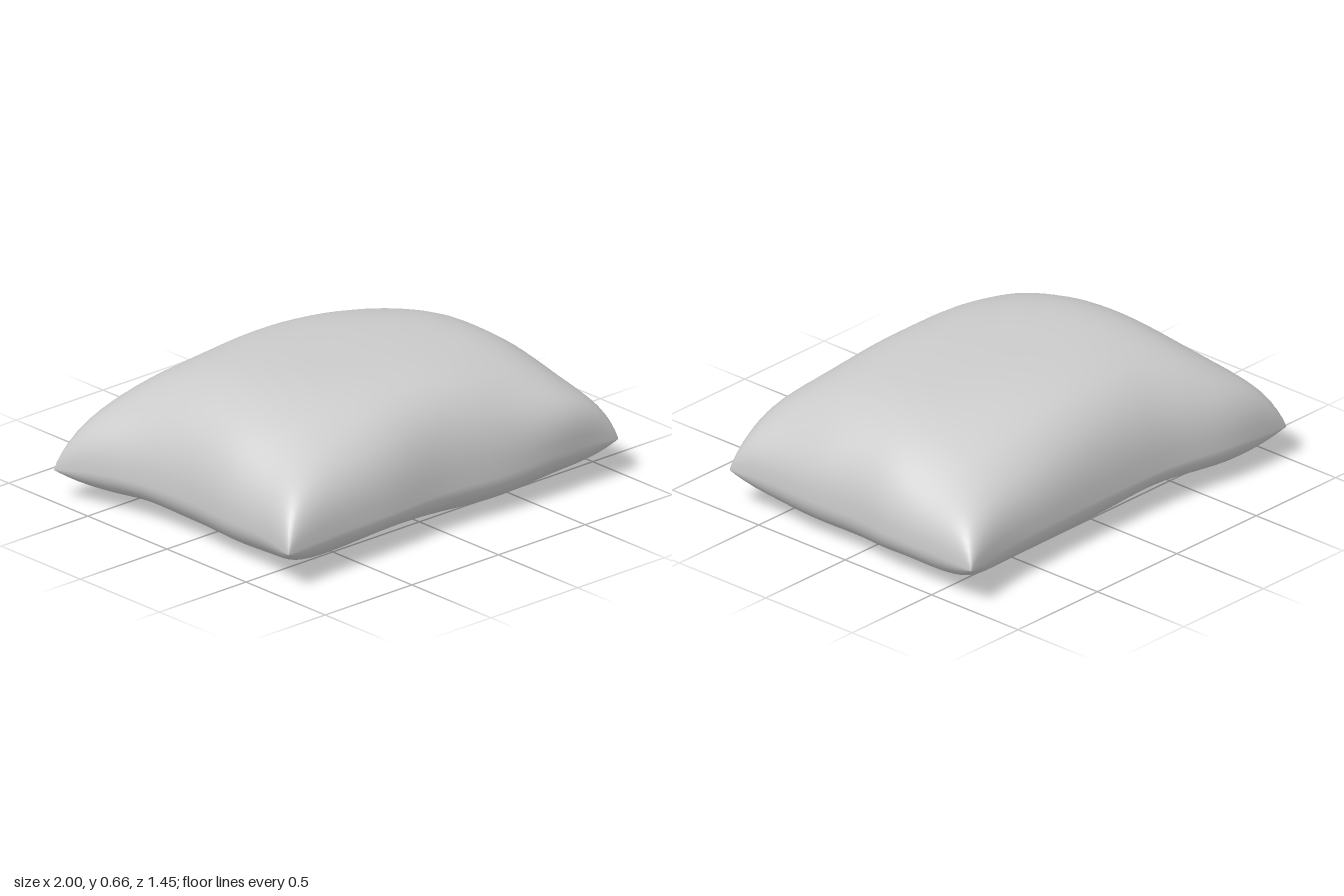
import * as THREE from 'three';
import { mergeVertices } from 'three/addons/utils/BufferGeometryUtils.js';

const N = 44;
const curve = (pts) => new THREE.CatmullRomCurve3(pts.map((p) => new THREE.Vector3(...p)));

// Seam outline: four bowed edges sharing their corners
const backLeft = [-1, 0.16, -0.715], backRight = [1, 0.2, -0.73];
const frontLeft = [-0.955, 0.19, 0.72], frontRight = [0.96, 0.19, 0.705];
const back = curve([backLeft, [-0.68, 0.19, -0.72], [-0.33, 0.2, -0.675], [0, 0.2, -0.665],
  [0.36, 0.2, -0.67], [0.7, 0.2, -0.685], backRight]);
const front = curve([frontLeft, [-0.65, 0.2, 0.705], [-0.33, 0.2, 0.695], [0, 0.2, 0.675],
  [0.35, 0.2, 0.7], [0.68, 0.22, 0.71], frontRight]);
const left = curve([backLeft, [-0.945, 0.19, -0.5], [-0.9, 0.2, -0.25], [-0.887, 0.2, 0],
  [-0.905, 0.2, 0.25], [-0.913, 0.2, 0.5], frontLeft]);
const right = curve([backRight, [0.99, 0.2, -0.5], [0.985, 0.2, -0.23], [0.96, 0.2, 0],
  [0.965, 0.2, 0.25], [0.955, 0.2, 0.5], frontRight]);

// Surface spanned by the four seam edges, s across and t from back to front
function seamPoint(s, t) {
  const p = new THREE.Vector3();
  const add = (v, w) => p.addScaledVector(v, w);
  add(back.getPoint(s), 1 - t);
  add(front.getPoint(s), t);
  add(left.getPoint(t), 1 - s);
  add(right.getPoint(t), s);
  add(back.points[0], -(1 - s) * (1 - t));
  add(back.points[6], -s * (1 - t));
  add(front.points[0], -(1 - s) * t);
  add(front.points[6], -s * t);
  return p;
}

// Rounded swelling profile: full in the middle, zero at the seam
const swell = (a, power, root) => Math.pow(Math.max(0, 1 - Math.pow(Math.abs(a), power)), root);
const bump = (a, centre, width) => Math.exp(-(((a - centre) / width) ** 2));

// Domed top, sagging along the diagonals
function topHeight(u, v) {
  const corner = u * u * v * v;
  const across = u > 0 ? swell(u, 2.5, 0.39) : swell(u, 4.2, 0.43);
  return 0.45 * across * swell(v, 3.6, 0.38) * (1 - 1.1 * corner * (1 - corner) ** 2);
}

// Flatter underside with two shallow hollows
function bottomDepth(u, v) {
  const depth = 0.2 - 0.035 * bump(u, -0.3, 0.3) - 0.02 * bump(v, -0.42, 0.2);
  return depth * swell(u, 5.5, 0.5) * swell(v, 4, 0.5);
}

// One stuffed half of the cushion; rows crowd together toward the seam
function half(positions, index, top) {
  const start = positions.length / 3;
  for (let j = 0; j <= N; j++) {
    for (let i = 0; i <= N; i++) {
      const u = Math.sin((i / N - 0.5) * Math.PI);
      const v = Math.sin((j / N - 0.5) * Math.PI);
      const p = seamPoint((u + 1) / 2, (v + 1) / 2);
      const rise = top ? topHeight(u, v) : -bottomDepth(u, v);
      p.y += rise;
      // Soft lump in the stuffing near one front corner
      if (top) p.z += 0.15 * rise * bump(u, 0.7, 0.25) * bump(v, 1, 0.2);
      positions.push(p.x, p.y, p.z);
    }
  }
  for (let j = 0; j < N; j++) {
    for (let i = 0; i < N; i++) {
      const a = start + j * (N + 1) + i, b = a + 1, c = a + N + 1, d = c + 1;
      if (top) index.push(a, c, b, b, c, d);
      else index.push(a, b, c, b, d, c);
    }
  }
}

export function createModel() {
  const group = new THREE.Group();
  group.name = 'pillow';
  const positions = [], index = [];
  half(positions, index, true);
  half(positions, index, false);

  // Weld both halves along the seam for smooth shading
  let geometry = new THREE.BufferGeometry();
  geometry.setAttribute('position', new THREE.Float32BufferAttribute(positions, 3));
  geometry.setIndex(index);
  geometry = mergeVertices(geometry, 1e-5);
  geometry.computeBoundingBox();
  geometry.translate(0, -geometry.boundingBox.min.y, 0);
  geometry.computeVertexNormals();

  const cushion = new THREE.Mesh(geometry, new THREE.MeshStandardMaterial({ color: 0xcccccc }));
  cushion.name = 'cushion';
  group.add(cushion);
  return group;
}
